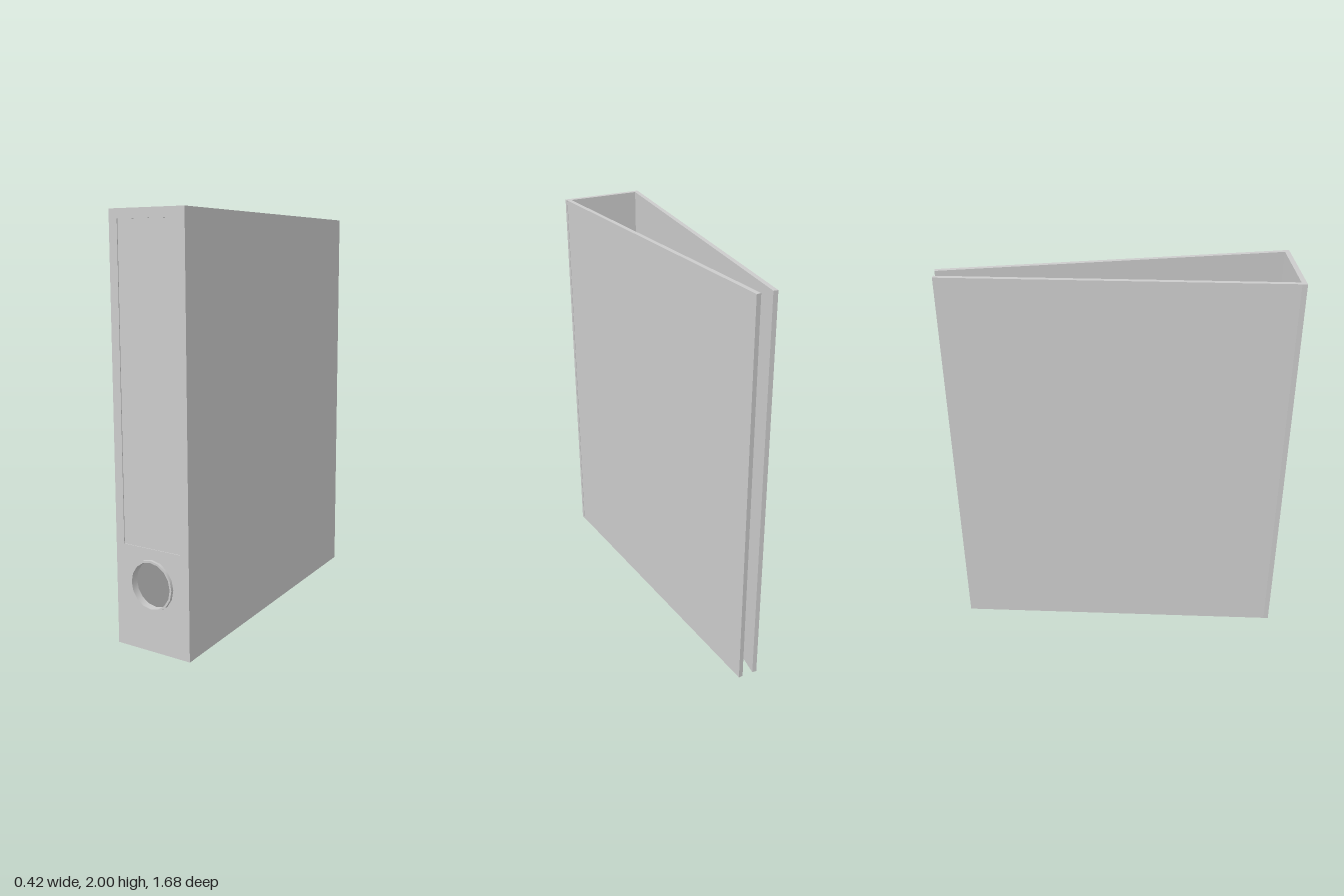
import * as THREE from 'three';
import { toCreasedNormals } from 'three/addons/utils/BufferGeometryUtils.js';

const HEIGHT = 2, HALF_W = 0.208;
const SPINE_BACK = 0.803, SPINE_FRONT = 0.827, RECESS = 0.004;
const HOLE_Y = 0.32, RING_OUT = 0.12, RING_IN = 0.11, SIDES = 16;

const material = new THREE.MeshStandardMaterial({ color: 0xcccccc });

function polygon(points) {
  return points.map(([x, y]) => new THREE.Vector2(x, y));
}

function rectangle(x, y0, y1) {
  return polygon([[-x, y0], [x, y0], [x, y1], [-x, y1]]);
}

function circle(radius) {
  return Array.from({ length: SIDES }, (_, i) => {
    const a = (i / SIDES) * Math.PI * 2;
    return new THREE.Vector2(radius * Math.cos(a), HOLE_Y + radius * Math.sin(a));
  });
}

// Straight extrusion of an outline with optional holes, from z0 to z1
function slab(name, outline, holes, z0, z1) {
  const shape = new THREE.Shape(outline);
  shape.holes = holes.map((h) => new THREE.Path(h));
  const geometry = new THREE.ExtrudeGeometry(shape, { depth: z1 - z0, bevelEnabled: false });
  geometry.translate(0, 0, z0);
  const mesh = new THREE.Mesh(toCreasedNormals(geometry, 0.5), material);
  mesh.name = name;
  return mesh;
}

// Cover board: plan outline (x, z) raised to full height, mirrored by side
function cover(name, side) {
  const plan = [[0.206, SPINE_BACK], [0.184, SPINE_BACK], [0.028, -0.839], [0.05, -0.841]];
  const shape = new THREE.Shape(polygon(plan.map(([x, z]) => [side * x, -z])));
  const geometry = new THREE.ExtrudeGeometry(shape, { depth: HEIGHT, bevelEnabled: false });
  geometry.rotateX(-Math.PI / 2);
  const mesh = new THREE.Mesh(geometry, material);
  mesh.name = name;
  return mesh;
}

export function createModel() {
  const binder = new THREE.Group();
  binder.name = 'ringBinder';

  // Covers converging towards the open edge
  binder.add(cover('leftCover', 1), cover('rightCover', -1));

  // Spine: solid board plus a thin facing that leaves the label panel recessed
  const spine = new THREE.Group();
  spine.name = 'spine';
  const outline = rectangle(HALF_W, 0, HEIGHT);
  const label = rectangle(0.162, 0.49, 1.955);
  const step = SPINE_FRONT - RECESS;
  spine.add(
    slab('spineBoard', outline, [circle(RING_OUT)], SPINE_BACK, step),
    slab('spineFacing', outline, [circle(RING_OUT), label], step, SPINE_FRONT)
  );
  binder.add(spine);

  // Finger-hole rim standing proud of the spine
  binder.add(slab('fingerRing', circle(RING_OUT), [circle(RING_IN)], SPINE_BACK, 0.841));

  return binder;
}
